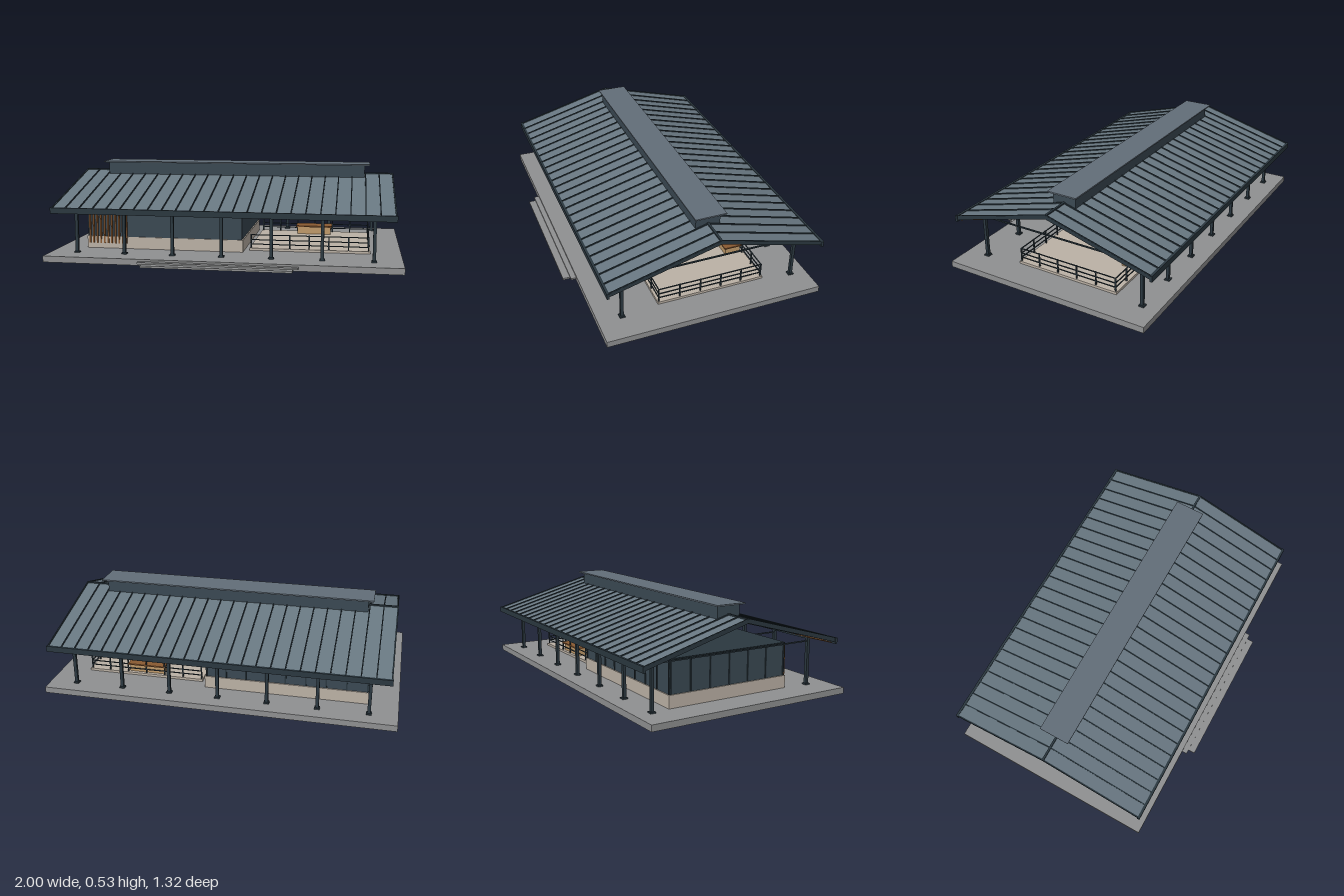
import * as THREE from 'three';

const mat = (name, color) => {
  const m = new THREE.MeshStandardMaterial({ color });
  m.name = name;
  return m;
};

export function createModel() {
  const model = new THREE.Group();
  model.name = 'pavilion';
  const concrete = mat('concrete', 0x8f9091);
  const stone = mat('pale stone', 0xbcb2a6);
  const wall = mat('slate wall', 0x3b4953);
  const steel = mat('dark steel', 0x2b3840);
  const roofing = mat('metal roofing', 0x687781);
  const capMat = mat('ridge cap metal', 0x626e79);
  const wood = mat('timber', 0x8a5a32);
  const paleWood = mat('pale timber', 0xc09a6a);

  // Box given by its min and max on each axis
  const box = (name, material, [x0, x1], [y0, y1], [z0, z1], parent = model) => {
    const mesh = new THREE.Mesh(new THREE.BoxGeometry(x1 - x0, y1 - y0, z1 - z0), material);
    mesh.position.set((x0 + x1) / 2, (y0 + y1) / 2, (z0 + z1) / 2);
    mesh.name = name;
    parent.add(mesh);
    return mesh;
  };
  const around = (c, w) => [c - w / 2, c + w / 2];
  const group = (name, parent = model) => {
    const g = new THREE.Group();
    g.name = name;
    parent.add(g);
    return g;
  };

  // Ground slab and entrance steps
  box('slab', concrete, [-1, 1], [0, 0.035], [-0.64, 0.59]);
  box('upperStep', concrete, [-0.443, 0.443], [0.014, 0.024], [0.585, 0.62]);
  box('lowerStep', concrete, [-0.415, 0.415], [0.004, 0.015], [0.61, 0.66]);

  // Columns with base plates, tie beams and eave beams
  const frame = group('frame');
  const columnX = Array.from({ length: 7 }, (_, i) => -0.843 + i * 0.281);
  const columnZ = [0.457, -0.545];
  for (const x of columnX) {
    for (const z of columnZ) {
      box('column', steel, around(x, 0.018), [0.035, 0.312], around(z, 0.017), frame);
      box('columnBase', steel, around(x, 0.03), [0.035, 0.043], around(z, 0.03), frame);
    }
    box('tieBeam', steel, around(x, 0.008), [0.28, 0.287], [columnZ[1], columnZ[0]], frame);
  }
  for (const z of columnZ) box('eaveBeam', steel, [-0.85, 0.85], [0.295, 0.31], around(z, 0.014), frame);

  // Two roof slopes, each built outwards from the ridge
  const ridgeZ = -0.045, ridgeY = 0.468, run = 0.605;
  const angle = Math.atan(0.273), length = run / Math.cos(angle);
  for (const side of [1, -1]) {
    const half = group(side > 0 ? 'frontRoof' : 'backRoof');
    half.position.set(0, ridgeY, ridgeZ);
    if (side < 0) half.rotation.y = Math.PI;
    const slope = group('roofSlope', half);
    slope.rotation.x = angle;
    box('roofPanel', roofing, [-0.95, 0.95], [-0.014, 0], [0, length], slope);
    for (let i = 0; i <= 24; i++) {
      box('standingSeam', steel, around(-0.95 + (i * 1.9) / 24, 0.006), [-0.002, 0.006], [0, length], slope);
    }
    for (const x of [-0.95, 0.95]) box('rakeTrim', steel, around(x, 0.008), [-0.018, 0.004], [0, length], slope);
    for (const x of columnX) box('rafter', steel, around(x, 0.012), [-0.024, -0.012], [0.01, length - 0.01], slope);
    if (side > 0) box('timberSoffit', wood, [-0.94, 0.94], [-0.027, -0.022], [0.46, length - 0.01], slope);
    box('gutter', steel, [-0.957, 0.957], [-0.193, -0.16], [run - 0.005, run + 0.009], half);
  }
  box('ridgeStrip', steel, [-0.95, 0.95], [0.464, 0.474], around(ridgeZ, 0.012));

  // Raised ridge vent
  const vent = group('ridgeVent');
  box('ventBody', wall, [-0.785, 0.785], [0.45, 0.521], [-0.115, 0.025], vent);
  box('ventCap', capMat, [-0.815, 0.815], [0.521, 0.529], [-0.138, 0.04], vent);

  // Enclosed hall on a stone plinth
  const hall = group('hall');
  box('plinth', stone, [-0.835, 0.1], [0.035, 0.105], [-0.44, 0.31], hall);
  box('walls', wall, [-0.828, 0.093], [0.105, 0.285], [-0.433, 0.304], hall);
  box('wallCap', steel, [-0.83, 0.095], [0.284, 0.29], [-0.435, 0.306], hall);
  for (let i = 0; i <= 6; i++) {
    box('sideMullion', steel, [-0.833, -0.826], [0.105, 0.285], around(-0.428 + i * 0.121, 0.008), hall);
  }
  for (let i = 0; i <= 8; i++) {
    box('backMullion', steel, around(-0.824 + i * 0.1142, 0.008), [0.105, 0.285], [-0.438, -0.431], hall);
  }

  // Vertical timber screen on the front wall
  const screen = group('timberScreen');
  for (let i = 0; i < 11; i++) {
    box('slat', wood, around(-0.817 + i * 0.0222, 0.009), [0.065, 0.283], [0.303, 0.316], screen);
  }

  // Terrace deck with railing on all sides
  const terrace = group('terrace');
  const x0 = 0.138, x1 = 0.815, z0 = -0.37, z1 = 0.238;
  box('deck', stone, [x0 - 0.008, x1 + 0.01], [0.035, 0.049], [z0 - 0.01, z1 + 0.008], terrace);
  const post = (x, z) => box('railPost', steel, around(x, 0.007), [0.049, 0.13], around(z, 0.007), terrace);
  for (let i = 0; i <= 6; i++) for (const z of [z0, z1]) post(x0 + (i * (x1 - x0)) / 6, z);
  for (let i = 1; i < 5; i++) post(x1, z0 + (i * (z1 - z0)) / 5);
  for (const y of [0.072, 0.098, 0.127]) {
    for (const z of [z0, z1]) box('longRail', steel, [x0, x1], around(y, 0.005), around(z, 0.005), terrace);
    box('sideRail', steel, around(x1, 0.005), around(y, 0.005), [z0, z1], terrace);
  }

  // Bench at the back of the terrace
  const bench = group('bench');
  box('benchBody', paleWood, [0.37, 0.58], [0.049, 0.094], [-0.36, -0.27], bench);
  box('benchTop', wood, [0.362, 0.588], [0.094, 0.102], [-0.375, -0.26], bench);

  return model;
}
